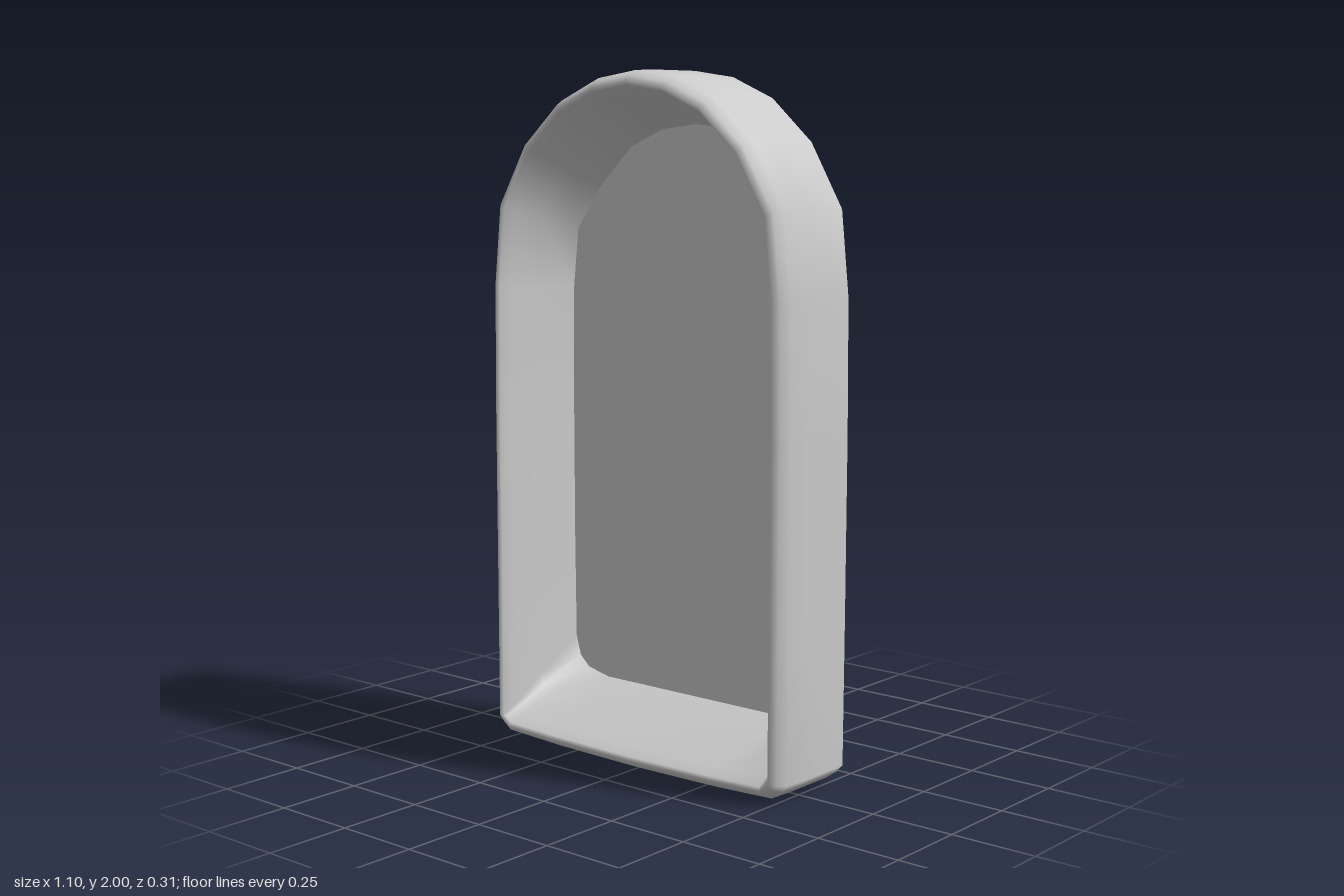
import * as THREE from 'three';

// Right half of the arch, bottom to top: outer x, outer y, panel x, panel y
const HALF = [
  [0, 0.003, 0, 0.16], [0.3, 0.007, 0.35, 0.16], [0.49, 0.015, 0.43, 0.178],
  [0.525, 0.04, 0.465, 0.21], [0.545, 0.062, 0.482, 0.27], [0.547, 0.5, 0.486, 0.6],
  [0.548, 1.0, 0.487, 1.0], [0.545, 1.38, 0.484, 1.36], [0.52, 1.62, 0.465, 1.54],
  [0.415, 1.8, 0.37, 1.67], [0.28, 1.92, 0.25, 1.785], [0.14, 1.98, 0.13, 1.835], [0, 2, 0, 1.85],
];

// Frame section from the open back edge, round the front lip, to the panel:
// inset from the outer outline, blend towards the panel outline, z
const SECTION = [
  [0, 0, -0.145], [0, 0, 0.03], [0.003, 0, 0.11], [0.018, 0, 0.14], [0.034, 0, 0.155],
  [0.044, 0, 0.148], [0.049, 0.1, 0.11], [0.05, 0.5, 0], [0.05, 1, -0.155],
];

function mirrored(half) {
  const left = half.slice(1, -1).reverse().map(([x, y]) => [-x, y]);
  return [...half, ...left].map(([x, y]) => new THREE.Vector2(x, y));
}

// Unit normals pointing into a counter-clockwise outline
function inwardNormals(points) {
  const n = points.length;
  return points.map((p, i) => {
    const a = p.clone().sub(points[(i + n - 1) % n]).normalize();
    const b = points[(i + 1) % n].clone().sub(p).normalize();
    const t = a.add(b).normalize();
    return new THREE.Vector2(-t.y, t.x);
  });
}

function frameGeometry(outer, inner) {
  const n = outer.length;
  const normals = inwardNormals(outer);
  const positions = [];
  const index = [];
  SECTION.forEach(([inset, blend, z], j) => {
    for (let i = 0; i < n; i++) {
      const p = outer[i].clone().addScaledVector(normals[i], inset).lerp(inner[i], blend);
      positions.push(p.x, p.y, z);
      if (j === 0) continue;
      const k = (i + 1) % n;
      const lo = (j - 1) * n;
      const hi = j * n;
      index.push(lo + i, lo + k, hi + k, lo + i, hi + k, hi + i);
    }
  });
  const geometry = new THREE.BufferGeometry();
  geometry.setAttribute('position', new THREE.Float32BufferAttribute(positions, 3));
  geometry.setIndex(index);
  geometry.computeVertexNormals();
  return geometry;
}

export function createModel() {
  const group = new THREE.Group();
  group.name = 'archedFrame';
  const material = new THREE.MeshStandardMaterial({ color: 0xcccccc, side: THREE.DoubleSide });
  const outer = mirrored(HALF.map(([x, y]) => [x, y]));
  const inner = mirrored(HALF.map(([, , x, y]) => [x, y]));

  // Hollow rounded frame, open at the back
  const frame = new THREE.Mesh(frameGeometry(outer, inner), material);
  frame.name = 'frame';

  // Flat back panel closing the recess
  const panel = new THREE.Mesh(new THREE.ShapeGeometry(new THREE.Shape(inner)), material);
  panel.name = 'backPanel';
  panel.position.z = -0.155;

  group.add(frame, panel);
  return group;
}
